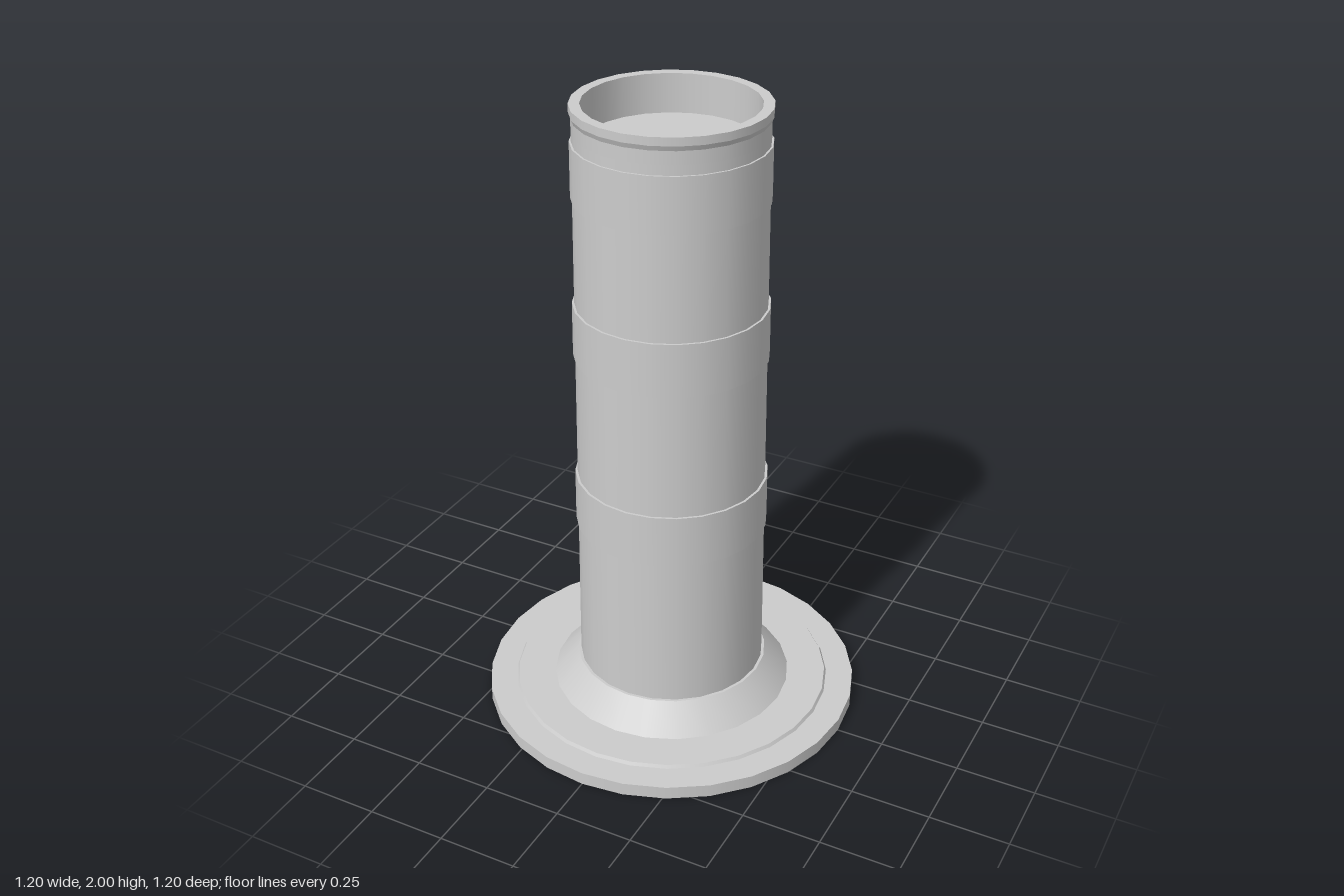
import * as THREE from 'three';
import { mergeGeometries } from 'three/addons/utils/BufferGeometryUtils.js';

const grey = new THREE.MeshStandardMaterial({ color: 0xcccccc });
grey.name = 'light grey';

// Revolves a profile of [radius, height] points, keeping every profile corner sharp
function turned(name, profile, sides) {
  const bands = [];
  for (let i = 0; i < profile.length - 1; i++) {
    const pair = [profile[i], profile[i + 1]].map(([r, y]) => new THREE.Vector2(r, y));
    bands.push(new THREE.LatheGeometry(pair, sides));
  }
  const mesh = new THREE.Mesh(mergeGeometries(bands), grey);
  mesh.name = name;
  return mesh;
}

export function createModel() {
  const model = new THREE.Group();
  model.name = 'flangedColumn';

  // Base disc with a shallow raised step
  model.add(turned('basePlate', [
    [0, 0], [0.6, 0], [0.6, 0.042], [0.513, 0.042], [0.507, 0.052], [0, 0.052],
  ], 28));

  // Sloped collar at the foot of the column
  model.add(turned('collar', [[0.385, 0.052], [0.307, 0.14], [0.28, 0.14]], 24));

  // Gently tapered column with a recessed top
  model.add(turned('column', [
    [0.298, 0.13], [0.284, 1.92], [0.284, 1.96], [0.29, 1.975], [0.29, 2],
    [0.258, 2], [0.258, 1.88], [0, 1.88],
  ], 24));

  // Thin reinforcing bands, slightly smaller towards the top
  [[0.645, 0.301], [1.22, 0.296], [1.72, 0.291]].forEach(([y, r], i) => {
    model.add(turned('band' + (i + 1), [
      [0.275, y], [r, y], [r - 0.001, y + 0.17], [0.275, y + 0.17],
    ], 24));
  });

  return model;
}
